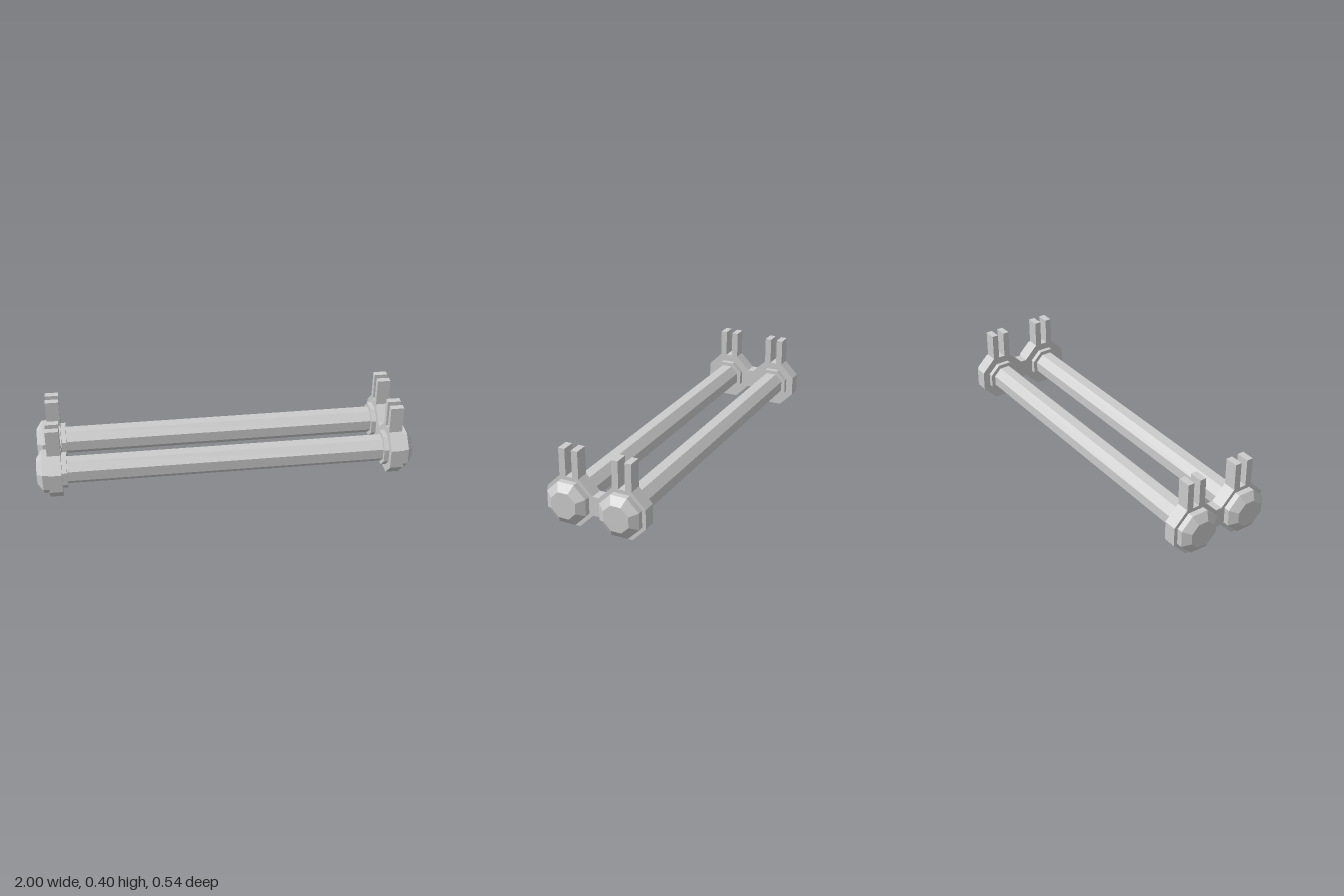
import * as THREE from 'three';

const AXIS_Y = 0.128, AXIS_Z = 0.145;

export function createModel() {
  const model = new THREE.Group();
  model.name = 'twinRailRack';
  const material = new THREE.MeshStandardMaterial({ color: 0xcccccc, flatShading: true });

  const add = (parent, name, geometry) => {
    const mesh = new THREE.Mesh(geometry, material);
    mesh.name = name;
    parent.add(mesh);
  };

  // Octagonal prism along x, flat sides up; radii are measured to the flats
  const octagon = (x0, x1, r0, r1 = r0) => {
    const k = 1 / Math.cos(Math.PI / 8);
    return new THREE.CylinderGeometry(r1 * k, r0 * k, x1 - x0, 8, 1, false, Math.PI / 8)
      .rotateZ(-Math.PI / 2)
      .translate((x0 + x1) / 2, 0, 0);
  };

  // Two rods, each with a collar and a bevelled cap at both ends
  for (const side of [1, -1]) {
    const rail = new THREE.Group();
    rail.name = side > 0 ? 'frontRail' : 'backRail';
    rail.position.set(0, AXIS_Y, side * AXIS_Z);
    add(rail, 'rod', octagon(-0.86, 0.86, 0.067));
    for (const end of ['left', 'right']) {
      const tip = new THREE.Group();
      tip.name = end + 'End';
      if (end === 'right') tip.rotation.y = Math.PI;
      add(tip, 'collar', octagon(0.843, 0.88, 0.088));
      add(tip, 'cap', octagon(0.93, 0.97, 0.1075));
      add(tip, 'capBevel', octagon(0.97, 1, 0.1075, 0.0675));
      rail.add(tip);
    }
    model.add(rail);
  }

  // End bracket outline: octagonal ring blocks with forked prongs, joined by a web
  const half = [
    [0.017, 0.077], [0.092, 0], [0.198, 0], [0.272, 0.077], [0.272, 0.18], [0.198, 0.255],
    [0.198, 0.4], [0.163, 0.4], [0.163, 0.255], [0.127, 0.255], [0.127, 0.4], [0.092, 0.4],
    [0.092, 0.255], [0.017, 0.18],
  ];
  const outline = [...half, ...half.map(([z, y]) => [-z, y]).reverse()];
  const shape = new THREE.Shape(outline.map(([z, y]) => new THREE.Vector2(z, y)));
  for (const side of [1, -1]) {
    const bracket = new THREE.ExtrudeGeometry(shape, { depth: 0.07, bevelEnabled: false })
      .translate(0, 0, -0.035)
      .rotateY(Math.PI / 2)
      .translate(side * 0.904, 0, 0);
    add(model, side > 0 ? 'leftBracket' : 'rightBracket', bracket);
  }

  return model;
}
